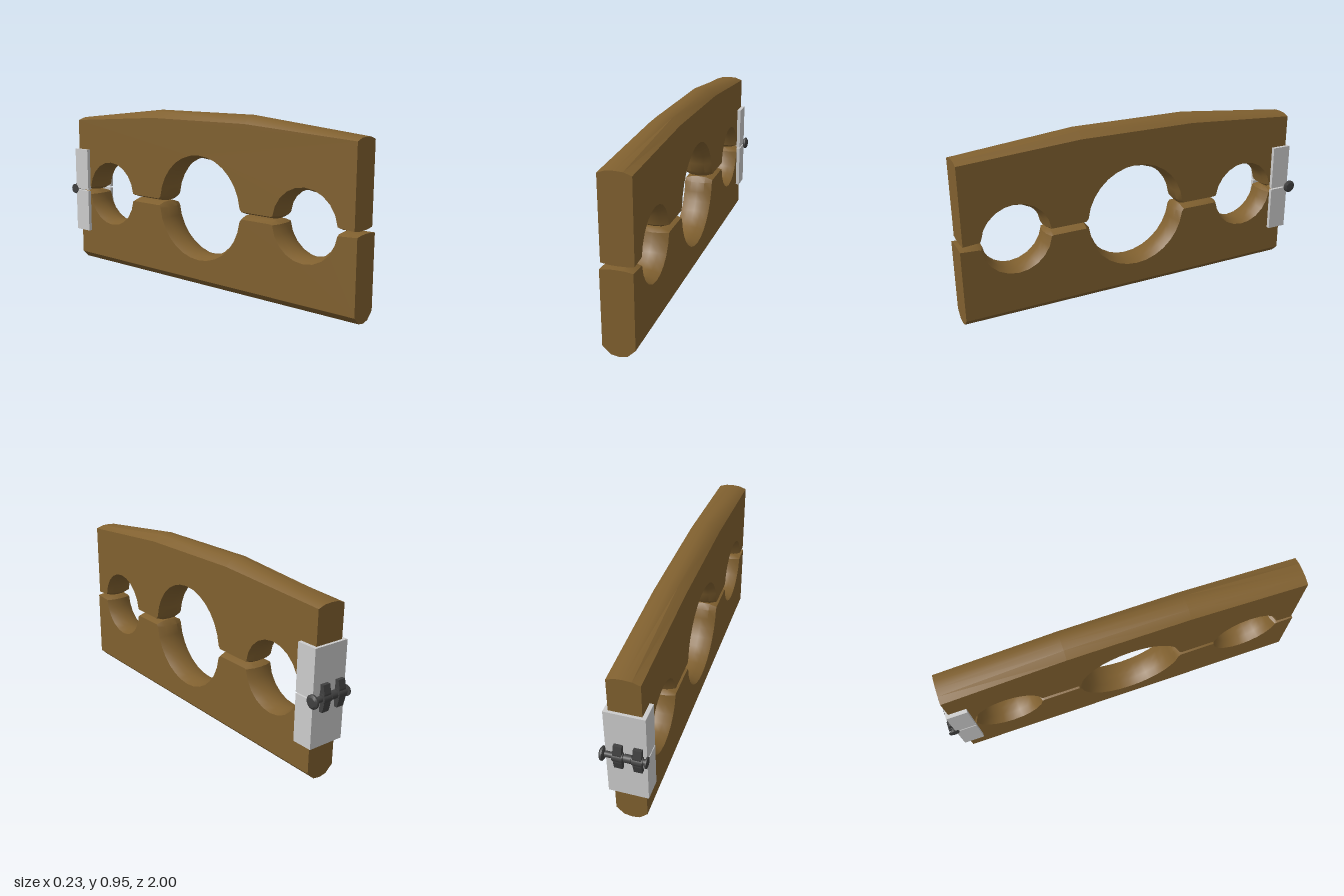
import * as THREE from 'three';
import { toCreasedNormals } from 'three/addons/utils/BufferGeometryUtils.js';

const wood = new THREE.MeshStandardMaterial({ color: 0x80602f });
const steel = new THREE.MeshStandardMaterial({ color: 0xcccccc });
const iron = new THREE.MeshStandardMaterial({ color: 0x404040 });

const MID_X = -0.01, HALF = 0.08, SEAM = 0.438;
// neck and wrist openings, front to back
const HOLES = [
  { z: 0.71, r: 0.187, n: 10 },
  { z: 0.035, r: 0.285, n: 14 },
  { z: -0.655, r: 0.187, n: 10 },
];

// Seam edge of one board from front to back: [z, y, dz, dy],
// where dz, dy move the point from the board's face to its middle.
function seamEdge(side, zFront, zBack) {
  const pts = [[zFront, SEAM + side * 0.013, 0, -side * 0.007]];
  for (const { z, r, n } of HOLES) {
    const a0 = 0.12;
    const lip = r * Math.cos(a0) + 0.012;
    pts.push([z + lip, SEAM + side * 0.019, -0.004, -side * 0.017]);
    for (let i = 0; i <= n; i++) {
      const a = a0 + (Math.PI - 2 * a0) * i / n;
      const c = Math.cos(a), s = side * Math.sin(a);
      pts.push([z + r * c, SEAM + r * s, -0.02 * c, -0.02 * s]);
    }
    pts.push([z - lip, SEAM + side * 0.019, 0.004, -side * 0.017]);
  }
  pts.push([zBack, SEAM + side * 0.013, 0, -side * 0.007]);
  return pts;
}

// Lofts the profile across the board's thickness with rounded edges.
function board(name, profile) {
  const stations = [[-1, 0], [-0.5, 0.84], [0, 1], [0.5, 0.84], [1, 0]];
  const pos = [], index = [], n = profile.length;
  for (const [u, t] of stations)
    for (const [z, y, dz, dy] of profile) pos.push(MID_X + u * HALF, y + t * dy, z + t * dz);
  const outline = profile.map(p => new THREE.Vector2(p[0], p[1]));
  const ccw = !THREE.ShapeUtils.isClockWise(outline);
  const tri = (a, b, c) => (ccw ? index.push(a, b, c) : index.push(a, c, b));
  for (let k = 0; k < 4; k++)
    for (let i = 0; i < n; i++) {
      const j = (i + 1) % n, a = k * n + i, b = k * n + j;
      tri(a, a + n, b);
      tri(b, a + n, b + n);
    }
  // flat faces; triangulation keeps the outline's winding in the z-y plane
  for (const [a, b, c] of THREE.ShapeUtils.triangulateShape(outline, [])) {
    const p = outline[a], q = outline[b], r = outline[c];
    const area = (q.x - p.x) * (r.y - p.y) - (r.x - p.x) * (q.y - p.y);
    const [d, e] = area > 0 ? [b, c] : [c, b];
    const o = 4 * n;
    index.push(a, d, e, o + a, o + e, o + d);
  }
  const g = new THREE.BufferGeometry();
  g.setAttribute('position', new THREE.Float32BufferAttribute(pos, 3));
  g.setIndex(index);
  fixWinding(g);
  const mesh = new THREE.Mesh(toCreasedNormals(g, 0.6), wood);
  mesh.name = name;
  return mesh;
}

// Turns the end faces and the loft outward: each cap by its side.
function fixWinding(g) {
  const p = g.attributes.position, idx = g.index.array;
  const v = [0, 1, 2].map(() => new THREE.Vector3()), nrm = new THREE.Vector3();
  let volume = 0;
  const caps = [];
  for (let i = 0; i < idx.length; i += 3) {
    v.forEach((w, k) => w.fromBufferAttribute(p, idx[i + k]));
    const flat = v.every(w => Math.abs(w.x - v[0].x) < 1e-6);
    if (flat) {
      nrm.subVectors(v[1], v[0]).cross(v[2].clone().sub(v[0]));
      if (nrm.x * (v[0].x - MID_X) < 0) caps.push(i);
    }
  }
  const flip = i => { const t = idx[i + 1]; idx[i + 1] = idx[i + 2]; idx[i + 2] = t; };
  caps.forEach(flip);
  // volume about the seam's middle tells whether the loft faces outward
  const loftEnd = 4 * 6 * (p.count / 5);
  for (let i = 0; i < loftEnd; i += 3) {
    v.forEach((w, k) => w.fromBufferAttribute(p, idx[i + k]).setX(w.x - MID_X));
    // project to the z-y plane part of the flux only
    nrm.subVectors(v[1], v[0]).cross(v[2].clone().sub(v[0]));
    volume += nrm.y * (v[0].y + v[1].y + v[2].y);
  }
  if (volume < 0) for (let i = 0; i < loftEnd; i += 3) flip(i);
}

function add(parent, name, geometry, material, x, y, z) {
  const m = new THREE.Mesh(geometry, material);
  m.name = name;
  m.position.set(x, y, z);
  parent.add(m);
  return m;
}

export function createModel() {
  const model = new THREE.Group();
  model.name = 'stocks';

  // upper board with its low gabled top
  model.add(board('upperBoard', [
    ...seamEdge(1, 0.985, -0.94),
    [-0.94, 0.862, 0, 0.016], [-0.3, 0.905, 0, 0.042],
    [0.345, 0.905, 0, 0.042], [0.985, 0.862, 0, 0.016],
  ]));
  // lower board with rounded bottom edge
  model.add(board('lowerBoard', [
    ...seamEdge(-1, 1, -0.93),
    [-0.93, 0.045, 0, -0.045], [1, 0.045, 0, -0.045],
  ]));

  // hinge leaves: a U-shaped plate wrapped round each board's end
  const u = new THREE.Shape([
    [-0.1, 0.845], [-0.1, 0.955], [0.1, 0.955], [0.1, 0.845],
    [0.08, 0.845], [0.08, 0.938], [-0.08, 0.938], [-0.08, 0.845],
  ].map(([x, y]) => new THREE.Vector2(x, y)));
  for (const [name, y] of [['lowerHingeLeaf', 0.19], ['upperHingeLeaf', 0.443]]) {
    const g = new THREE.ExtrudeGeometry(u, { depth: 0.245, bevelEnabled: false });
    g.rotateX(-Math.PI / 2);
    add(model, name, g, steel, MID_X, y, 0);
  }

  // hinge pin, its heads and the knuckles with their straps
  const hinge = new THREE.Group();
  hinge.name = 'hinge';
  hinge.position.set(0, 0.44, -0.965);
  model.add(hinge);
  const rod = (name, r, x0, x1) => {
    const g = new THREE.CylinderGeometry(r, r, x1 - x0, 14).rotateZ(Math.PI / 2);
    add(hinge, name, g, iron, (x0 + x1) / 2, 0, 0);
  };
  rod('pin', 0.015, -0.11, 0.1);
  rod('pinEnd', 0.028, -0.115, -0.108);
  const head = [[0, -0.012], [0.026, -0.012], [0.035, -0.006], [0.035, 0.003], [0.024, 0.011], [0, 0.013]];
  const headGeo = new THREE.LatheGeometry(head.map(([x, y]) => new THREE.Vector2(x, y)), 16);
  add(hinge, 'pinHead', toCreasedNormals(headGeo.rotateZ(-Math.PI / 2), 0.5), iron, 0.101, 0, 0);
  const strap = new THREE.Shape([[-0.008, -0.068], [0.015, -0.068], [0.015, 0.068], [-0.008, 0.068], [-0.018, 0.025], [-0.018, -0.025]]
    .map(([z, y]) => new THREE.Vector2(-z, y)));
  for (const x of [-0.07, 0.025]) {
    rod('knuckle', 0.025, x - 0.025, x + 0.025);
    const g = new THREE.ExtrudeGeometry(strap, { depth: 0.042, bevelEnabled: false });
    g.translate(0, 0, -0.021).rotateY(Math.PI / 2);
    add(hinge, 'knuckleStrap', g, iron, x, 0, 0);
  }
  rod('middleKnuckle', 0.021, -0.04, -0.005);
  return model;
}
